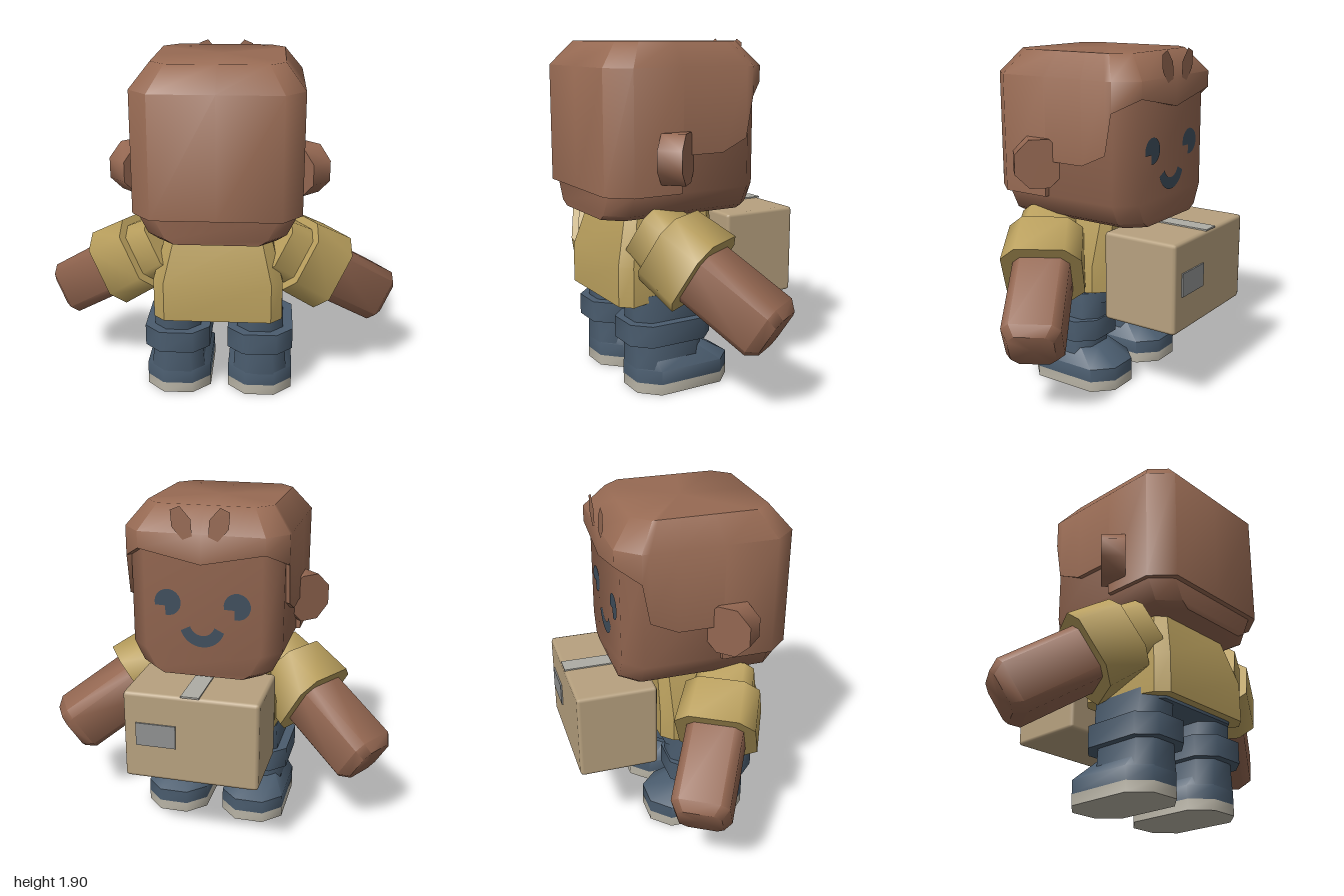
import * as THREE from 'three';
import { toCreasedNormals } from 'three/addons/utils/BufferGeometryUtils.js';
import { RoundedBoxGeometry } from 'three/addons/geometries/RoundedBoxGeometry.js';

const V = (x, y, z) => new THREE.Vector3(x, y, z);

// Chamfered rectangle, counter-clockwise, half sizes a and b, chamfer c
const octagon = (a, b, c) => [[a, c - b], [a, b - c], [a - c, b], [c - a, b], [-a, b - c], [-a, c - b], [c - a, -b], [a - c, -b]];

// Horizontal ring at height y
const level = (y, z0, z1, hx, c, cx = 0) =>
  octagon((z1 - z0) / 2, hx, c).map(([p, q]) => V(q + cx, y, p + (z0 + z1) / 2));

// Skin a stack of equal-length rings and cap the ends
function loft(rings, capStart = true, capEnd = true, crease = 0.9) {
  const pos = [];
  const n = rings[0].length;
  const tri = (...pts) => pts.forEach((p) => pos.push(p.x, p.y, p.z));
  for (let j = 0; j < rings.length - 1; j++) {
    for (let i = 0; i < n; i++) {
      const k = (i + 1) % n;
      tri(rings[j][i], rings[j][k], rings[j + 1][k]);
      tri(rings[j][i], rings[j + 1][k], rings[j + 1][i]);
    }
  }
  const cap = (ring, flip) => {
    const mid = ring.reduce((s, p) => s.add(p), V(0, 0, 0)).divideScalar(n);
    ring.forEach((p, i) => {
      const q = ring[(i + 1) % n];
      if (flip) tri(mid, q, p); else tri(mid, p, q);
    });
  };
  if (capStart) cap(rings[0], true);
  if (capEnd) cap(rings[rings.length - 1], false);
  const geo = new THREE.BufferGeometry();
  geo.setAttribute('position', new THREE.Float32BufferAttribute(pos, 3));
  return toCreasedNormals(geo, crease);
}

export function createModel() {
  const model = new THREE.Group();
  model.name = 'parcelCarrier';
  const material = (name, color, side = THREE.FrontSide) => {
    const m = new THREE.MeshStandardMaterial({ color, side });
    m.name = name;
    return m;
  };
  const skin = material('skin', 0x946751);
  const hair = material('hair', 0x976a53, THREE.DoubleSide);
  const shirt = material('shirt', 0xb99f5d);
  const trousers = material('trousers', 0x4a5c6e);
  const sole = material('sole', 0xb9b4a6);
  const carton = material('carton', 0xb7a17f);
  const tape = material('tape', 0xadaca5);
  const label = material('label', 0x8f9191);
  const ink = material('faceInk', 0x3f4e5c, THREE.DoubleSide);
  const add = (name, geo, mat, parent = model) => {
    const mesh = new THREE.Mesh(geo, mat);
    mesh.name = name;
    parent.add(mesh);
    return mesh;
  };

  // Head
  add('head', loft([
    level(0.97, -0.32, 0.565, 0.31, 0.09),
    level(1.0, -0.325, 0.57, 0.365, 0.1),
    level(1.11, -0.325, 0.57, 0.42, 0.1),
    level(1.74, -0.325, 0.57, 0.42, 0.1),
  ]), skin);

  // Hair cap: outline x, z and the height of the hairline there
  const half = [
    [0.34, 0.6, 1.11], [0.445, 0.48, 1.11], [0.445, 0.2, 1.11], [0.445, 0.19, 1.31], [0.445, -0.05, 1.31],
    [0.445, -0.2, 1.38], [0.445, -0.24, 1.6], [0.34, -0.357, 1.67],
  ];
  const line = [[0, 0.6, 1.11], ...half, [0, -0.357, 1.6], ...half.map(([x, z, y]) => [-x, z, y]).reverse()];
  const hairRing = (scale, y) => line.map(([x, z, low]) => V(x * scale, y ?? low, 0.12 + (z - 0.12) * scale));
  add('hair', loft([hairRing(0.93), hairRing(1), hairRing(1, 1.76), hairRing(0.77, 1.89)], false, true), hair);

  // Two flat tufts above the fringe
  for (const s of [-1, 1]) {
    const tuft = new THREE.Shape();
    tuft.absellipse(0, 0, 0.055, 0.095, 0, Math.PI * 2);
    const mesh = add('hairTuft', new THREE.ShapeGeometry(tuft, 3), hair);
    mesh.position.set(s * 0.1, 1.815, -0.36);
    mesh.rotation.z = -s * 0.4;
  }

  // Ears, turned toward the face
  for (const s of [-1, 1]) {
    const ear = new THREE.CylinderGeometry(0.144, 0.144, 0.13, 8).rotateY(Math.PI / 8).rotateX(Math.PI / 2);
    add('ear', toCreasedNormals(ear, 0.9), skin).position.set(s * 0.45, 1.3, 0.24);
    model.children.at(-1).rotation.y = -s * Math.PI / 4;
  }

  // Face
  const face = new THREE.Group();
  face.name = 'face';
  face.position.z = -0.329;
  face.rotation.y = Math.PI;
  model.add(face);
  for (const s of [-1, 1]) {
    const eye = new THREE.Shape();
    eye.absarc(0, 0, 0.073, -1.75, 3.4, false);
    eye.lineTo(-0.015, -0.02);
    add('eye', new THREE.ShapeGeometry(eye, 8), ink, face).position.set(s * 0.19, 1.38, 0);
  }
  const smile = new THREE.Shape();
  smile.absarc(0, 0, 0.125, Math.PI + 0.3, -0.3, false);
  smile.absarc(0, 0.01, 0.07, -0.3, Math.PI + 0.3, true);
  add('mouth', new THREE.ShapeGeometry(smile, 8), ink, face).position.y = 1.265;

  // Shirt with a longer tail behind
  const hem = level(0.5, -0.1, 0.5, 0.35, 0.06);
  hem.forEach((p) => { if (p.z < 0.4) p.y = 0.57; });
  add('shirt', loft([
    hem, level(0.72, -0.1, 0.5, 0.35, 0.06), level(0.975, -0.1, 0.43, 0.28, 0.05),
  ], true, true, 0.5), shirt);
  add('hips', loft([level(0.49, -0.06, 0.44, 0.33, 0.07), level(0.6, -0.06, 0.44, 0.33, 0.07)]), trousers);

  // Arms and sleeves along a slanted axis
  for (const s of [-1, 1]) {
    const tip = V(s * 0.9, 0.45, -0.07);
    const d = V(s * 0.8, -0.58, -0.48).normalize();
    const u = V(0, 1, 0).addScaledVector(d, -d.y).normalize();
    const v = d.clone().cross(u);
    const ring = (t, h, c) => octagon(h, h, c).map(([p, q]) =>
      tip.clone().addScaledVector(d, t).addScaledVector(u, p).addScaledVector(v, q));
    add('arm', loft([ring(-0.6, 0.155, 0.045), ring(-0.04, 0.155, 0.045), ring(0.015, 0.12, 0.04)]), skin);
    add('sleeve', loft([ring(-0.86, 0.15, 0.05), ring(-0.6, 0.175, 0.06)]), shirt);
    add('sleeveCuff', loft([ring(-0.72, 0.205, 0.08), ring(-0.47, 0.22, 0.085)]), shirt);
  }

  // Legs and shoes
  for (const s of [-1, 1]) {
    const leg = new THREE.Group();
    leg.name = 'leg';
    model.add(leg);
    const cx = s * 0.232;
    const slab = (name, mat, ...rows) => add(name, loft(rows.map((r) => level(...r, cx))), mat, leg);
    slab('sole', sole, [0, -0.17, 0.405, 0.182, 0.1], [0.06, -0.17, 0.405, 0.182, 0.1]);
    slab('shoe', trousers, [0.06, -0.17, 0.405, 0.182, 0.1], [0.135, -0.17, 0.405, 0.182, 0.1], [0.22, -0.03, 0.39, 0.12, 0.07]);
    slab('shin', trousers, [0.13, 0, 0.405, 0.15, 0.07], [0.3, 0, 0.405, 0.138, 0.07]);
    slab('kneeBand', trousers, [0.28, -0.05, 0.45, 0.182, 0.09], [0.4, -0.05, 0.45, 0.182, 0.09]);
    slab('thigh', trousers, [0.39, -0.04, 0.405, 0.13, 0.07], [0.55, -0.04, 0.42, 0.12, 0.07]);
  }

  // Carried parcel
  const parcel = new THREE.Group();
  parcel.name = 'parcel';
  parcel.position.set(0, 0.7, -0.362);
  model.add(parcel);
  add('carton', new RoundedBoxGeometry(0.74, 0.5, 0.446, 1, 0.02), carton, parcel);
  add('topTape', new THREE.BoxGeometry(0.1, 0.009, 0.446), tape, parcel).position.y = 0.253;
  add('shippingLabel', new THREE.BoxGeometry(0.22, 0.13, 0.009), label, parcel).position.set(0.19, 0.015, -0.227);
  return model;
}
